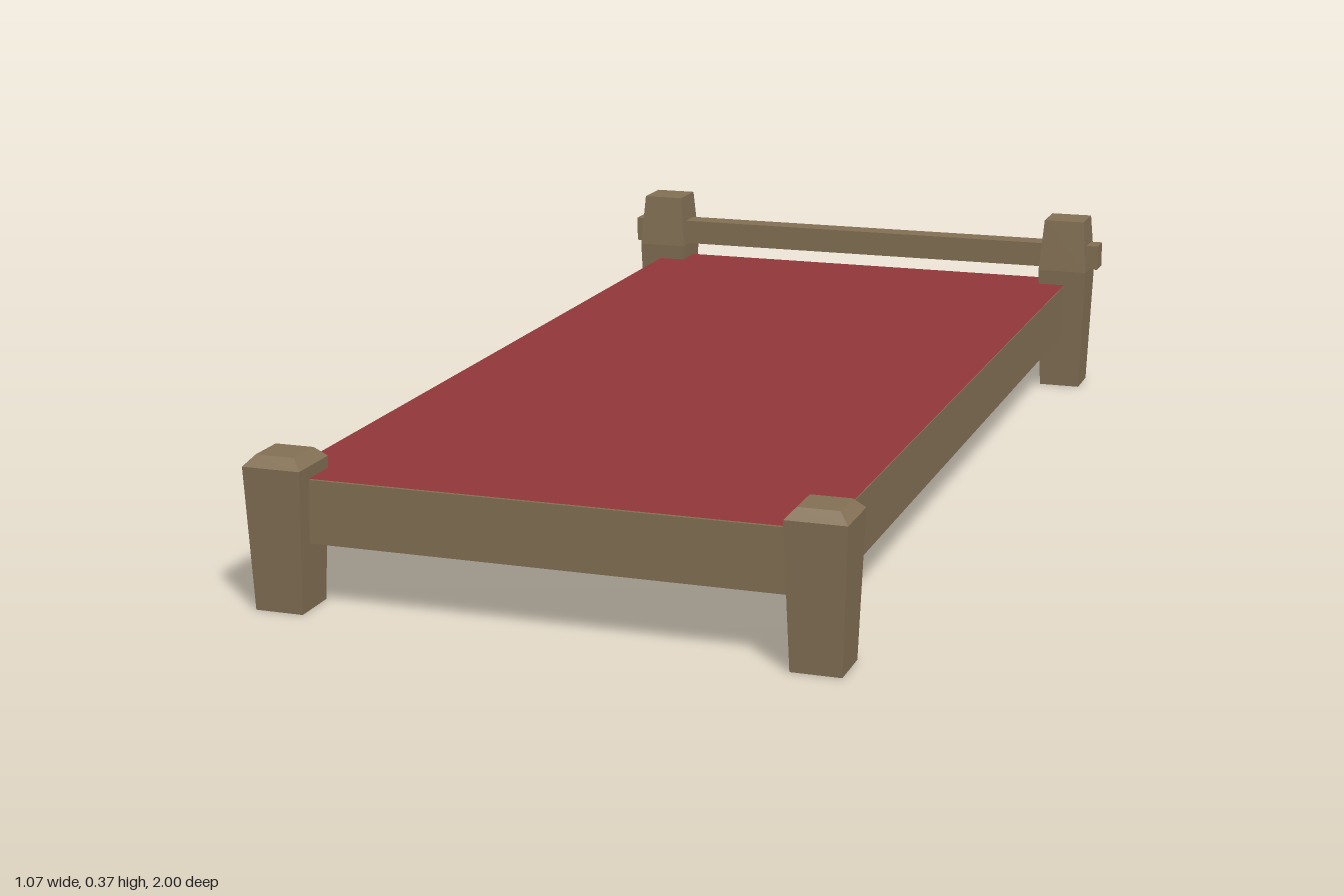
import * as THREE from 'three';

export function createModel() {
  const group = new THREE.Group();
  const wood = new THREE.MeshStandardMaterial({ color: 0x857256, side: THREE.DoubleSide });
  wood.name = 'wood';
  const red = new THREE.MeshStandardMaterial({ color: 0x943739 });
  red.name = 'redCloth';

  function add(name, geometry, material, x, y, z) {
    const mesh = new THREE.Mesh(geometry, material);
    mesh.name = name;
    mesh.position.set(x, y, z);
    group.add(mesh);
    return mesh;
  }
  const box = (name, w, h, d, x, y, z) => add(name, new THREE.BoxGeometry(w, h, d), wood, x, y, z);

  // Square tapered post from [half width, height] steps, open at the foot
  function postGeometry(profile) {
    const points = profile.map(([half, y]) => new THREE.Vector2(half * Math.SQRT2, y));
    const geometry = new THREE.LatheGeometry(points, 4, Math.PI / 4).toNonIndexed();
    geometry.computeVertexNormals();
    return geometry;
  }
  const footPost = postGeometry([[0.043, 0], [0.052, 0.25], [0.035, 0.268], [0, 0.268]]);
  const headPost = postGeometry([[0.043, 0], [0.052, 0.26], [0.043, 0.37], [0, 0.37]]);

  // Posts and long side rails
  for (const side of [-1, 1]) {
    const label = side > 0 ? 'left' : 'right';
    add(label + 'FootPost', footPost, wood, side * 0.465, 0, 0.948);
    add(label + 'HeadPost', headPost, wood, side * 0.465, 0, -0.948);
    box(label + 'SideRail', 0.045, 0.11, 1.93, side * 0.4475, 0.172, 0);
  }

  // Short end rails between the side rails
  for (const end of [-1, 1]) {
    box(end > 0 ? 'footRail' : 'headRail', 0.85, 0.11, 0.045, 0, 0.172, end * 0.9425);
  }

  // Bed board with the cloth lying on it
  box('bedBoard', 0.85, 0.02, 1.84, 0, 0.216, 0);
  add('bedCloth', new THREE.PlaneGeometry(0.94, 1.93), red, 0, 0.229, 0).rotation.x = -Math.PI / 2;

  // Head bar running through both tall posts
  box('headBar', 1.074, 0.052, 0.05, 0, 0.288, -0.952);

  return group;
}
